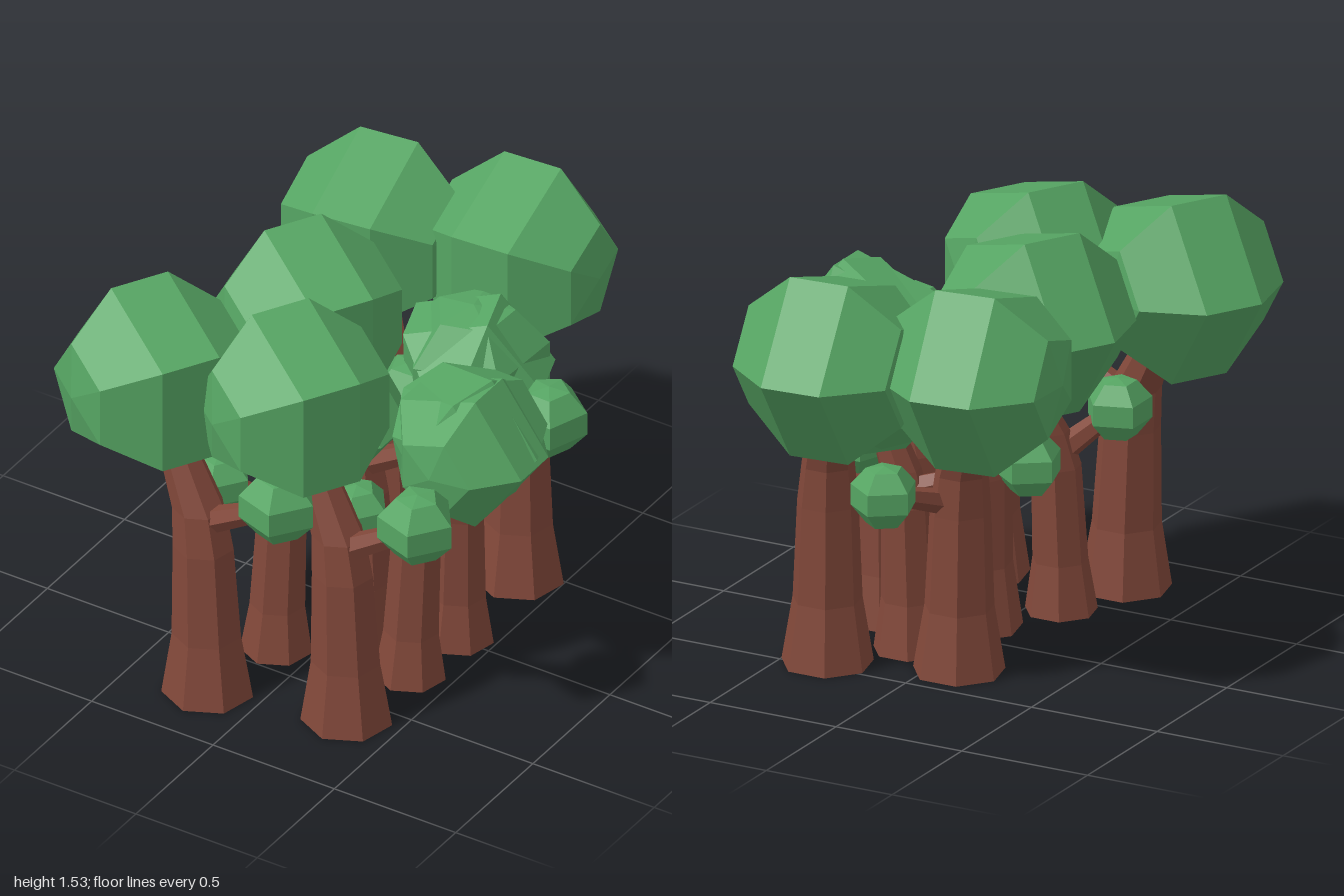
import * as THREE from 'three';

const bark = new THREE.MeshStandardMaterial({ color: 0x82483a, flatShading: true });
const leaf = new THREE.MeshStandardMaterial({ color: 0x56a563, flatShading: true });

// Faceted limb: rings given as [x, y, z, radius], from bottom to top
function limb(name, rings, sides = 7) {
  const n = rings.length - 1;
  const geo = new THREE.CylinderGeometry(1, 1, 1, sides, n);
  const pos = geo.attributes.position;
  for (let i = 0; i < pos.count; i++) {
    const [x, y, z, r] = rings[Math.round((pos.getY(i) + 0.5) * n)];
    pos.setXYZ(i, x + pos.getX(i) * r, y, z + pos.getZ(i) * r);
  }
  geo.computeVertexNormals();
  const mesh = new THREE.Mesh(geo, bark);
  mesh.name = name;
  return mesh;
}

// Thin straight branch between two points
function branch(from, to) {
  const a = new THREE.Vector3(...from), d = new THREE.Vector3(...to).sub(a);
  const mesh = new THREE.Mesh(new THREE.CylinderGeometry(0.033, 0.05, d.length(), 6), bark);
  mesh.position.copy(a).addScaledVector(d, 0.5);
  mesh.quaternion.setFromUnitVectors(new THREE.Vector3(0, 1, 0), d.normalize());
  mesh.name = 'branch';
  return mesh;
}

// Five-sided rounded clump of leaves, axis along y, one corner toward `yaw`
// (0 points to +z, positive turns toward +x)
function clump(name, r, [x, y, z], yaw) {
  const profile = [[0, -0.93], [0.55, -0.84], [1, -0.32], [1, 0.32], [0.55, 0.84], [0, 0.93]]
    .map(([px, py]) => new THREE.Vector2(px * r, py * r));
  const mesh = new THREE.Mesh(new THREE.LatheGeometry(profile, 5), leaf);
  mesh.position.set(x, y, z);
  mesh.rotation.y = yaw;
  mesh.name = name;
  return mesh;
}

// Clump laid on its side, with one corner pointing along `yaw`
function crown(r, p, yaw, tilt = 0) {
  const mesh = clump('crown', r, p, yaw);
  mesh.rotation.set(0, yaw, Math.PI / 2 + tilt, 'YXZ');
  return mesh;
}

// Big tree: trunk bending into its crown, plus a side branch with a small clump
function bigTree([x, z], [cx, cz], [bx, bz], yaw) {
  const tree = new THREE.Group();
  tree.name = 'bigTree';
  const at = (t, y, r) => [x + (cx - x) * t, y, z + (cz - z) * t, r];
  tree.add(
    limb('trunk', [at(0, 0, 0.165), at(0.02, 0.24, 0.125), at(0.08, 0.6, 0.11),
      at(0.17, 0.75, 0.095), at(0.57, 0.96, 0.07), at(0.8, 1.15, 0.05)]),
    crown(0.348, [cx, 1.2, cz], yaw),
    branch([x, 0.71, z], [bx, 0.88, bz]),
    clump('smallClump', 0.14, [bx, 0.895, bz], yaw + Math.PI * 7 / 6),
  );
  return tree;
}

// Small tree: straight trunk, lower crown, and a low branch with a clump
function smallTree([x, z], [cx, cz], [bx, bz], yaw, tilt) {
  const tree = new THREE.Group();
  tree.name = 'smallTree';
  const at = (t, y, r) => [x + (cx - x) * t, y, z + (cz - z) * t, r];
  tree.add(
    limb('trunk', [at(0, 0.01, 0.13), at(0.02, 0.2, 0.1), at(0.1, 0.55, 0.09),
      at(0.25, 0.68, 0.075), at(0.8, 0.9, 0.05)]),
    crown(0.275, [cx, 0.985, cz], yaw, tilt),
    branch([x, 0.6, z], [bx, 0.74, bz]),
    clump('smallClump', 0.12, [bx, 0.74, bz], yaw),
  );
  return tree;
}

export function createModel() {
  const model = new THREE.Group();
  model.name = 'treeGrove';

  // Big trees: base, crown and side clump as [x, z], crown heading
  const back = Math.PI, backRight = -Math.PI * 0.667;
  [
    [[-0.2, 0.715], [-0.46, 0.66], [0.1, 0.73], backRight],
    [[0.3, 0.6], [0.04, 0.535], [0.575, 0.58], backRight],
    [[0.065, 0.125], [-0.2, 0.075], [0.36, 0.12], backRight],
    [[-0.1, -0.3], [-0.285, -0.505], [0.12, -0.1], back + 0.12],
    [[0.34, -0.45], [0.215, -0.64], [0.605, -0.225], back + 0.07],
  ].forEach((t) => model.add(bigTree(...t)));

  // Small trees: base, crown and low clump as [x, z], crown heading and tilt
  [
    [[0.35, 0.27], [0.53, 0.18], [0.23, 0.43], Math.PI / 2, 0],
    [[0.37, -0.01], [0.51, 0.14], [0.36, -0.2], Math.PI / 2 - 0.35, 0.2],
    [[0.14, -0.22], [0.275, -0.25], [-0.28, -0.12], Math.PI / 2 + 0.3, 0.1],
    [[-0.13, 0.38], [0.01, 0.27], [-0.28, 0.52], Math.PI / 2, 0],
  ].forEach((t) => model.add(smallTree(...t)));

  // Second clump merged into the back small crown
  model.add(clump('crown', 0.265, [0.28, 0.99, -0.25], 0.9));

  // Low branch at the back with its clump
  const low = new THREE.Group();
  low.name = 'lowBranch';
  low.add(branch([-0.1, 0.62, -0.3], [0.01, 0.735, -0.62]),
    clump('smallClump', 0.12, [0.01, 0.735, -0.635], back));
  model.add(low);

  return model;
}
